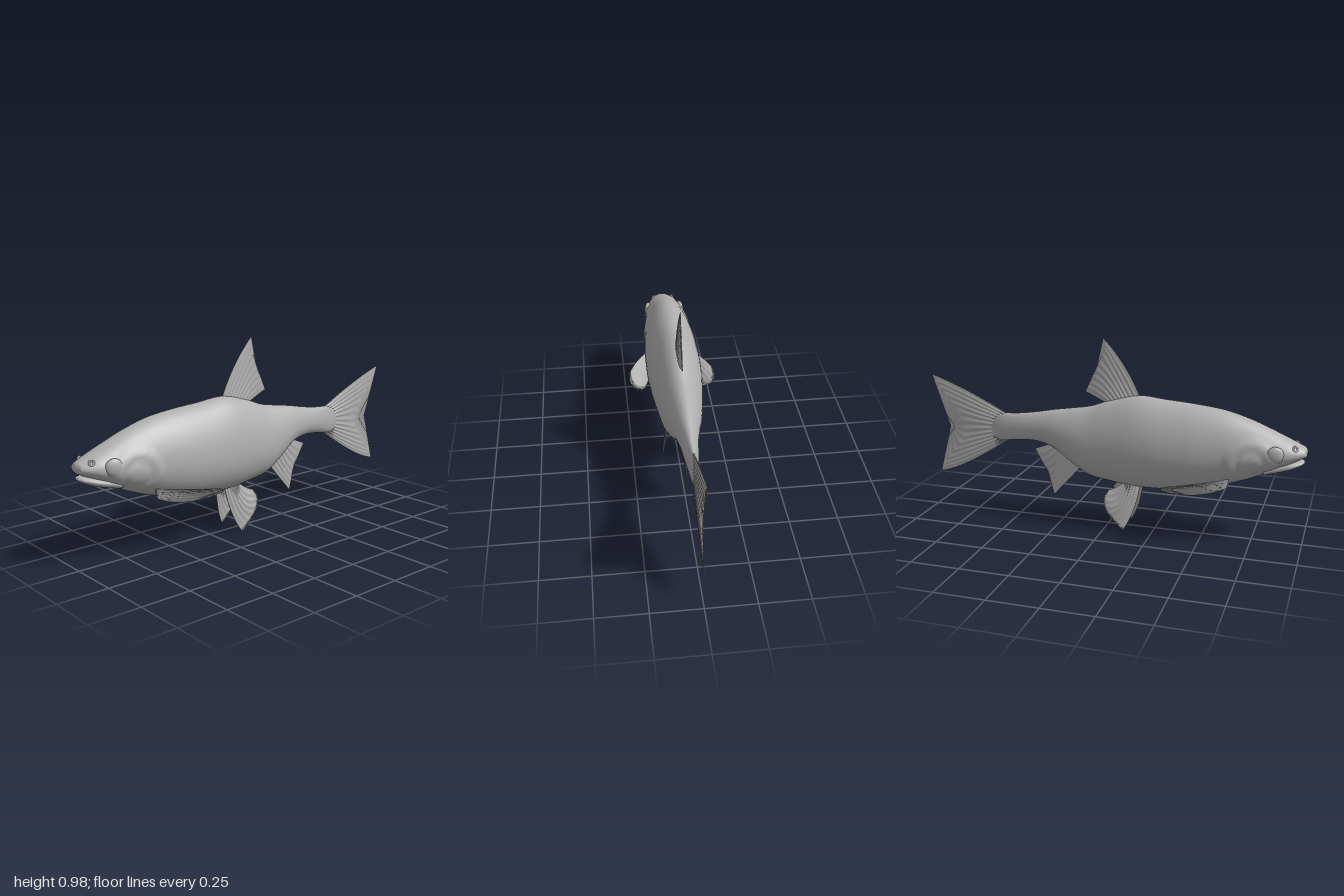
import * as THREE from 'three';

const V = (x, y, z = 0) => new THREE.Vector3(x, y, z);
const curve = (pts) => new THREE.CatmullRomCurve3(pts.map((p) => V(...p)));

// Closed skin over a list of equal-length rings, capped at both ends.
function loft(rings) {
  const n = rings[0].length, pos = [], idx = [];
  rings.forEach((r) => r.forEach((p) => pos.push(p.x, p.y, p.z)));
  for (let i = 0; i < rings.length - 1; i++) {
    for (let j = 0; j < n; j++) {
      const a = i * n + j, b = i * n + (j + 1) % n;
      idx.push(a, b, a + n, b, b + n, a + n);
    }
  }
  [0, rings.length - 1].forEach((i) => {
    const c = pos.length / 3;
    const mid = rings[i].reduce((s, p) => s.add(p), V(0, 0)).divideScalar(n);
    pos.push(mid.x, mid.y, mid.z);
    for (let j = 0; j < n; j++) {
      const a = i * n + j, b = i * n + (j + 1) % n;
      if (i === 0) idx.push(c, b, a); else idx.push(c, a, b);
    }
  });
  // Turn the skin outward if its signed volume is negative.
  const at = (i) => V(pos[3 * i], pos[3 * i + 1], pos[3 * i + 2]);
  let volume = 0;
  for (let k = 0; k < idx.length; k += 3) volume += at(idx[k]).dot(at(idx[k + 1]).cross(at(idx[k + 2])));
  if (volume < 0) idx.reverse();
  const g = new THREE.BufferGeometry();
  g.setAttribute('position', new THREE.Float32BufferAttribute(pos, 3));
  g.setIndex(idx);
  g.computeVertexNormals();
  return g;
}

// Egg-shaped sections from rows of [x, top, bottom, half width].
function eggLoft(rows, steps, sides, relief = () => 0) {
  const heights = curve(rows.map((r) => [r[0], r[1], r[2]]));
  const widths = curve(rows.map((r) => [r[3], 0, 0]));
  const rings = [];
  for (let i = 0; i <= steps; i++) {
    const t = i / steps, h = heights.getPoint(t), w = widths.getPoint(t).x;
    const mid = h.z + 0.43 * (h.y - h.z);
    rings.push(Array.from({ length: sides }, (_, j) => {
      const a = (j / sides) * Math.PI * 2, c = Math.cos(a), s = Math.sin(a);
      const y = mid + c * (c > 0 ? h.y - mid : mid - h.z);
      const taper = c > 0 ? 1 - 0.13 * c * c : 1;
      return V(h.x, y, s * (w * taper + relief(h.x, y)));
    }));
  }
  return loft(rings);
}

// Ribbed fin spanned by a root, a middle and an outer curve.
function finGeometry(root, middle, edge, normal, thick, rays, side = 1) {
  const curves = [root, middle, edge].map(curve), U = rays * 6, M = 14, rings = [];
  for (let i = 0; i <= M; i++) {
    const v = i / M, front = [], back = [];
    const k = [(1 - v) * (1 - 2 * v), 4 * v * (1 - v), v * (2 * v - 1)];
    for (let j = 0; j <= U; j++) {
      const u = j / U, p = V(0, 0);
      curves.forEach((c, q) => p.addScaledVector(c.getPoint(u), k[q]));
      const rib = 0.8 + 0.2 * Math.cos(u * rays * Math.PI * 2);
      const t = thick * (1 - 0.65 * v) * (0.15 + 0.85 * Math.sin(Math.PI * u) ** 0.5) * rib;
      front.push(p.clone().addScaledVector(normal, t));
      back.unshift(p.clone().addScaledVector(normal, -t));
    }
    const ring = front.concat(back);
    ring.forEach((p) => { p.z *= side; });
    rings.push(ring);
  }
  return loft(rings);
}

export function createModel() {
  const fish = new THREE.Group();
  fish.name = 'fish';
  const grey = new THREE.MeshStandardMaterial({ color: 0xb0b0b0 });
  grey.name = 'grey';
  const add = (name, geometry) => {
    const m = new THREE.Mesh(geometry, grey);
    m.name = name;
    fish.add(m);
    return m;
  };

  // Raised gill cover with a crease at the cheek
  const gill = (x, y) => {
    const d = Math.hypot((x + 0.74) / 0.13, (y - 0.43) / 0.125);
    return 0.008 * (1 - THREE.MathUtils.smoothstep(d, 0.85, 1.05)) - 0.006 * Math.exp(-(((d - 0.5) / 0.1) ** 2));
  };

  add('body', eggLoft([
    [-1.0, 0.495, 0.468, 0.016], [-0.99, 0.508, 0.458, 0.045], [-0.96, 0.522, 0.443, 0.068],
    [-0.91, 0.545, 0.415, 0.09], [-0.82, 0.585, 0.37, 0.106], [-0.72, 0.625, 0.325, 0.117],
    [-0.6, 0.66, 0.283, 0.132], [-0.45, 0.68, 0.247, 0.145], [-0.3, 0.692, 0.23, 0.146],
    [-0.15, 0.703, 0.228, 0.138], [0, 0.665, 0.245, 0.12], [0.1, 0.63, 0.265, 0.106],
    [0.2, 0.612, 0.325, 0.088], [0.3, 0.596, 0.395, 0.066], [0.4, 0.576, 0.42, 0.047],
    [0.5, 0.562, 0.417, 0.034], [0.6, 0.555, 0.405, 0.02], [0.67, 0.54, 0.41, 0.005],
  ], 150, 56, gill));

  add('lowerJaw', eggLoft([
    [-0.99, 0.438, 0.428, 0.015], [-0.975, 0.444, 0.417, 0.04],
    [-0.92, 0.445, 0.392, 0.07], [-0.8, 0.42, 0.358, 0.08],
  ], 24, 32));

  // Fins on the centre line
  const flat = V(0, 0, 1);
  add('tailFin', finGeometry(
    [[0.56, 0.553], [0.56, 0.48], [0.56, 0.41]],
    [[0.79, 0.662], [0.735, 0.56], [0.69, 0.465], [0.73, 0.37], [0.8, 0.262]],
    [[0.995, 0.74], [0.955, 0.67], [0.86, 0.56], [0.8, 0.45], [0.86, 0.35], [0.94, 0.25], [0.97, 0.195]],
    flat, 0.014, 14));
  add('dorsalFin', finGeometry(
    [[-0.165, 0.69], [-0.08, 0.66], [0, 0.645]],
    [[-0.08, 0.85], [-0.01, 0.77], [0.06, 0.675]],
    [[0.03, 0.985], [0.025, 0.93], [0.06, 0.84], [0.09, 0.76], [0.125, 0.705]],
    flat, 0.012, 9));
  add('analFin', finGeometry(
    [[0.15, 0.3], [0.23, 0.37], [0.31, 0.415]],
    [[0.235, 0.205], [0.28, 0.29], [0.36, 0.393]],
    [[0.305, 0.127], [0.315, 0.2], [0.345, 0.29], [0.41, 0.375]],
    flat, 0.012, 8));

  // Paired parts
  [['left', -1], ['right', 1]].forEach(([, side]) => {
    const tag = side > 0 ? 'Near' : 'Far';
    add('pelvicFin' + tag, finGeometry(
      [[-0.18, 0.25, 0.035], [-0.13, 0.255, 0.042], [-0.09, 0.25, 0.05]],
      [[-0.15, 0.11, 0.056], [-0.085, 0.135, 0.07], [-0.05, 0.222, 0.06]],
      [[-0.1, 0.003, 0.082], [-0.06, 0.045, 0.084], [-0.01, 0.11, 0.086], [0, 0.17, 0.082], [-0.02, 0.212, 0.07]],
      V(0, 0.2, 0.98), 0.011, 7, side));
    add('pectoralFin' + tag, finGeometry(
      [[-0.64, 0.34, 0.1], [-0.63, 0.305, 0.09], [-0.6, 0.275, 0.08]],
      [[-0.54, 0.34, 0.178], [-0.5, 0.305, 0.15], [-0.53, 0.257, 0.108]],
      [[-0.43, 0.33, 0.235], [-0.36, 0.318, 0.235], [-0.325, 0.295, 0.205], [-0.36, 0.265, 0.16], [-0.45, 0.25, 0.13]],
      V(0, 0.78, -0.62), 0.011, 7, side));
    const eye = add('eye' + tag, new THREE.SphereGeometry(0.042, 24, 16));
    eye.scale.z = 0.45;
    eye.position.set(-0.855, 0.482, side * 0.094);
    eye.rotation.y = side * -0.2;
    const nostril = add('nostril' + tag, new THREE.TorusGeometry(0.011, 0.005, 8, 16));
    nostril.position.set(-0.945, 0.51, side * 0.056);
    nostril.rotation.set(side * -0.5, side * -0.5, 0);
  });

  return fish;
}
